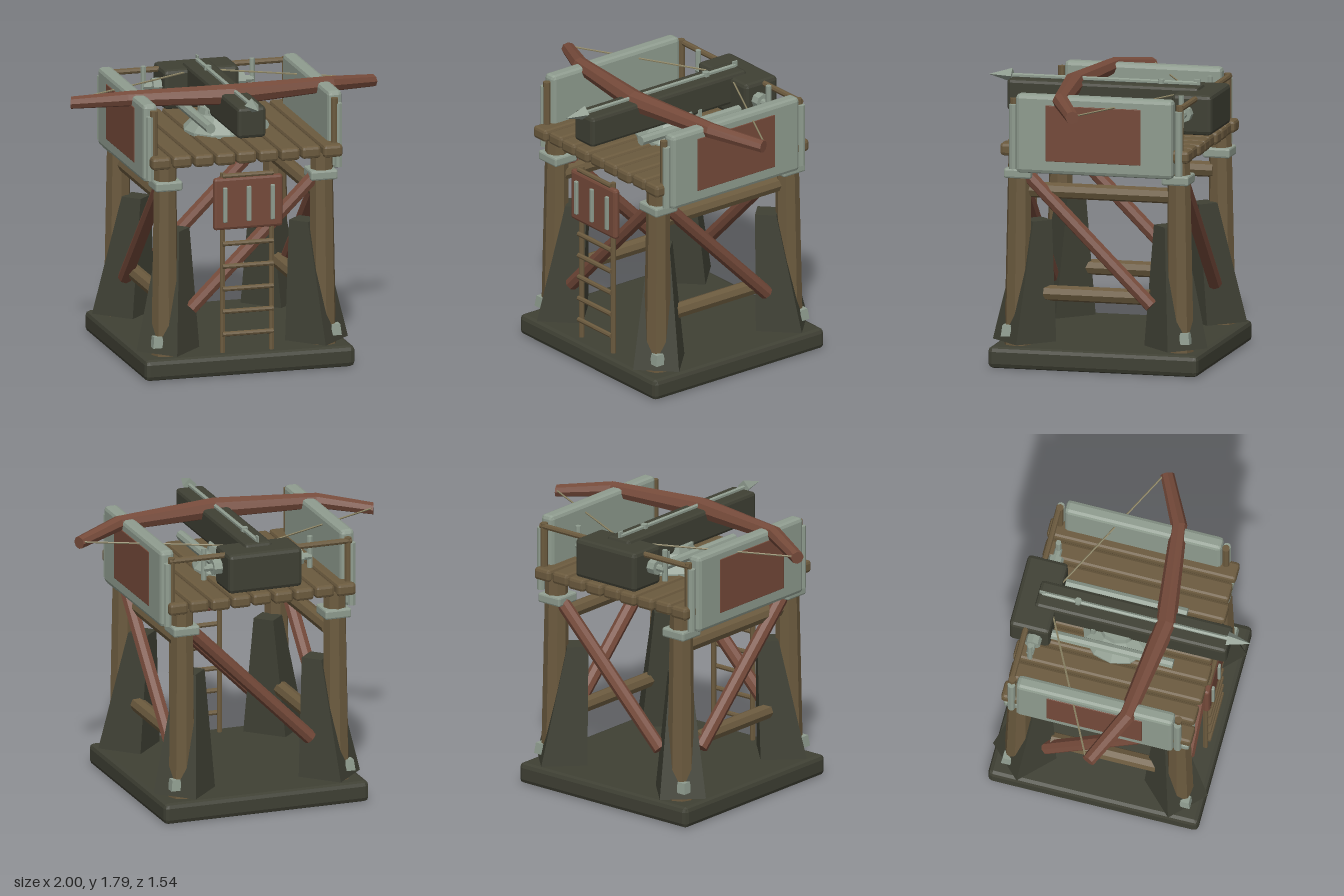
import * as THREE from 'three';
import { RoundedBoxGeometry } from 'three/addons/geometries/RoundedBoxGeometry.js';

const material = (name, color) => {
  const m = new THREE.MeshStandardMaterial({ color });
  m.name = name;
  return m;
};

export function createModel() {
  const model = new THREE.Group();
  model.name = 'ballistaTower';
  const stone = material('dark stone', 0x3f4034);
  const wood = material('brown wood', 0x6b5a3e);
  const red = material('red wood', 0x754a3a);
  const metal = material('pale metal', 0x8f9c8f);
  const cord = material('bowstring cord', 0x8c8465);
  const MID = -0.08; // z of the tower's centre

  const add = (name, geo, mat) => {
    const flat = geo.index ? geo.toNonIndexed() : geo;
    flat.computeVertexNormals();
    const mesh = new THREE.Mesh(flat, mat);
    mesh.name = name;
    model.add(mesh);
    return mesh;
  };
  // Box with bevelled edges, given as min/max ranges
  const box = (name, mat, [x0, x1], [y0, y1], [z0, z1], bevel = 0.012) => {
    const mesh = add(name, new RoundedBoxGeometry(x1 - x0, y1 - y0, z1 - z0, 1, bevel), mat);
    mesh.position.set((x0 + x1) / 2, (y0 + y1) / 2, (z0 + z1) / 2);
    return mesh;
  };
  // Round bar from a to b, with an optional taper
  const rod = (name, mat, a, b, r0, r1 = r0, sides = 8) => {
    const from = new THREE.Vector3(...a), to = new THREE.Vector3(...b);
    const dir = to.clone().sub(from);
    const mesh = add(name, new THREE.CylinderGeometry(r1, r0, dir.length(), sides), mat);
    mesh.position.copy(from).add(to).multiplyScalar(0.5);
    mesh.quaternion.setFromUnitVectors(new THREE.Vector3(0, 1, 0), dir.normalize());
    return mesh;
  };

  // Foundation slab
  box('base', stone, [-0.685, 0.685], [0.005, 0.14], [MID - 0.68, MID + 0.68], 0.03);

  // Corner legs, buttresses, collars and feet
  for (const sx of [-1, 1]) for (const sz of [-1, 1]) {
    rod('leg', wood, [sx * 0.515, 0.13, MID + sz * 0.525], [sx * 0.51, 1.37, MID + sz * 0.515], 0.088, 0.072);

    const buttress = new THREE.CylinderGeometry(0.095, 0.205, 0.76, 4);
    const p = buttress.attributes.position;
    for (let i = 0; i < p.count; i++) {
      const c = p.getY(i) > 0 ? 0.42 : 0.485;
      p.setXYZ(i, p.getX(i) + sx * c, p.getY(i) + 0.54, p.getZ(i) + MID + sz * (c + 0.005));
    }
    add('buttress', buttress, stone);

    const cz = MID + sz * 0.51;
    box('legCollar', metal, [sx * 0.507 - 0.088, sx * 0.507 + 0.088], [1.203, 1.265], [cz - 0.088, cz + 0.088]);

    const foot = add('footBracket', new THREE.CylinderGeometry(0.038, 0.05, 0.07, 4), metal);
    foot.position.set(sx * 0.58, 0.235, MID + sz * 0.575);
    foot.rotation.y = Math.PI / 4;
  }

  // Side rails and diagonal braces
  for (const s of [-1, 1]) {
    rod('upperRail', wood, [s * 0.485, 1.12, 0.42], [s * 0.485, 1.12, -0.56], 0.05);
    rod('lowerRail', wood, [s * 0.475, 0.465, 0.28], [s * 0.475, 0.465, -0.4], 0.05);
    rod('sideBrace', red, [s * 0.52, 1.23, 0.39], [s * 0.52, 0.42, -0.42], 0.045);
    rod('faceBrace', red, [0.47, 1.23, MID + s * 0.525], [-0.345, 0.42, MID + s * 0.525], 0.045);
  }

  // Platform planks
  for (let i = 0; i < 9; i++) {
    const x = (i - 4) * 0.14, d = [0, 0.012, 0.004][i % 3];
    box('plank', wood, [x - 0.063, x + 0.063], [1.35, 1.43], [-0.69 + d, 0.54 - d], 0.02);
  }

  // Ladder
  for (const s of [-1, 1]) rod('ladderRail', wood, [s * 0.16, 0.13, 0.515], [s * 0.16, 1.3, 0.515], 0.017);
  for (let i = 0; i < 8; i++) {
    const y = 0.262 + i * 0.146;
    rod('ladderRung', wood, [-0.165, y, 0.535], [0.165, y, 0.535], 0.016);
  }

  // Hanging front shield with metal bars
  box('frontShield', red, [-0.225, 0.225], [0.938, 1.275], [0.51, 0.555], 0.018);
  for (const x of [-0.155, 0, 0.155]) box('shieldBar', metal, [x - 0.014, x + 0.014], [0.99, 1.215], [0.55, 0.572], 0.005);

  // Side shields, their painted panels and end posts
  for (const s of [-1, 1]) {
    box('sideShield', metal, [s * 0.603 - 0.047, s * 0.603 + 0.047], [1.25, 1.75], [-0.588, 0.428], 0.025);
    box('shieldPanel', red, [s * 0.651 - 0.004, s * 0.651 + 0.004], [1.333, 1.688], [-0.385, 0.23], 0.003);
    for (const z of [0.452, -0.622]) {
      rod('shieldPost', wood, [s * 0.59, 1.4, z], [s * 0.59, 1.715, z], 0.024);
      rod('shieldPostSleeve', metal, [s * 0.615, 1.27, z], [s * 0.615, 1.68, z], 0.025);
    }
  }
  rod('backRail', wood, [-0.61, 1.695, -0.628], [0.61, 1.695, -0.628], 0.019);

  // Turntable and slide tubes
  const turntable = add('turntable', new THREE.LatheGeometry([
    [0, 0], [0.235, 0], [0.235, 0.02], [0.14, 0.12], [0.13, 0.16], [0, 0.16],
  ].map(([x, y]) => new THREE.Vector2(x, y)), 12), metal);
  turntable.position.set(0, 1.42, MID);
  for (const s of [-1, 1]) {
    rod('slideTube', metal, [s * 0.175, 1.535, -0.5], [s * 0.175, 1.535, 0.31], 0.032);
    for (const z of [-0.23, 0.0]) rod('turntableBolt', metal, [s * 0.08, 1.5, z], [s * 0.08, 1.575, z], 0.022, 0.022, 6);
  }

  // Stock and winch housing
  box('stock', stone, [-0.093, 0.093], [1.54, 1.74], [-0.61, 0.63], 0.022);
  box('winchHousing', stone, [-0.245, 0.245], [1.465, 1.72], [-0.735, -0.475], 0.025);
  for (const s of [-1, 1]) {
    rod('winchDrum', metal, [s * 0.23, 1.605, -0.57], [s * 0.3, 1.605, -0.57], 0.05);
    rod('winchAxle', metal, [s * 0.28, 1.605, -0.57], [s * 0.36, 1.605, -0.57], 0.024);
    rod('winchHandle', metal, [s * 0.355, 1.53, -0.57], [s * 0.355, 1.735, -0.57], 0.018);
  }

  // Bow: a tapered bar bent through its stations
  const stations = [
    [-0.985, 1.68, -0.03, 0.04], [-0.66, 1.722, 0.13, 0.05], [0, 1.722, 0.215, 0.068],
    [0.66, 1.722, 0.13, 0.05], [0.985, 1.68, -0.03, 0.04],
  ];
  const bow = new THREE.CylinderGeometry(1, 1, 1, 8, 4);
  const bp = bow.attributes.position;
  for (let i = 0; i < bp.count; i++) {
    const [x, y, z, r] = stations[Math.round((bp.getY(i) + 0.5) * 4)];
    const dz = bp.getX(i) * r;
    const lean = x === 0 ? 0 : Math.sign(x) * (Math.abs(x) > 0.9 ? 0.42 : 0.28);
    bp.setXYZ(i, x + dz * lean, y + bp.getZ(i) * r, z + dz);
  }
  add('bow', bow, red);
  for (const s of [-1, 1]) rod('bowstring', cord, [s * 0.96, 1.69, -0.055], [0, 1.7, -0.54], 0.006, 0.006, 5);

  // Loaded bolt
  rod('boltShaft', metal, [0, 1.75, -0.58], [0, 1.75, 0.64], 0.014, 0.014, 6);
  rod('boltHead', metal, [0, 1.75, 0.615], [0, 1.75, 0.765], 0.046, 0.001, 4);
  rod('boltNut', metal, [0, 1.735, -0.35], [0, 1.768, -0.35], 0.024, 0.024, 6);
  box('boltFletching', metal, [-0.005, 0.005], [1.74, 1.78], [-0.6, -0.56], 0.002);

  return model;
}
